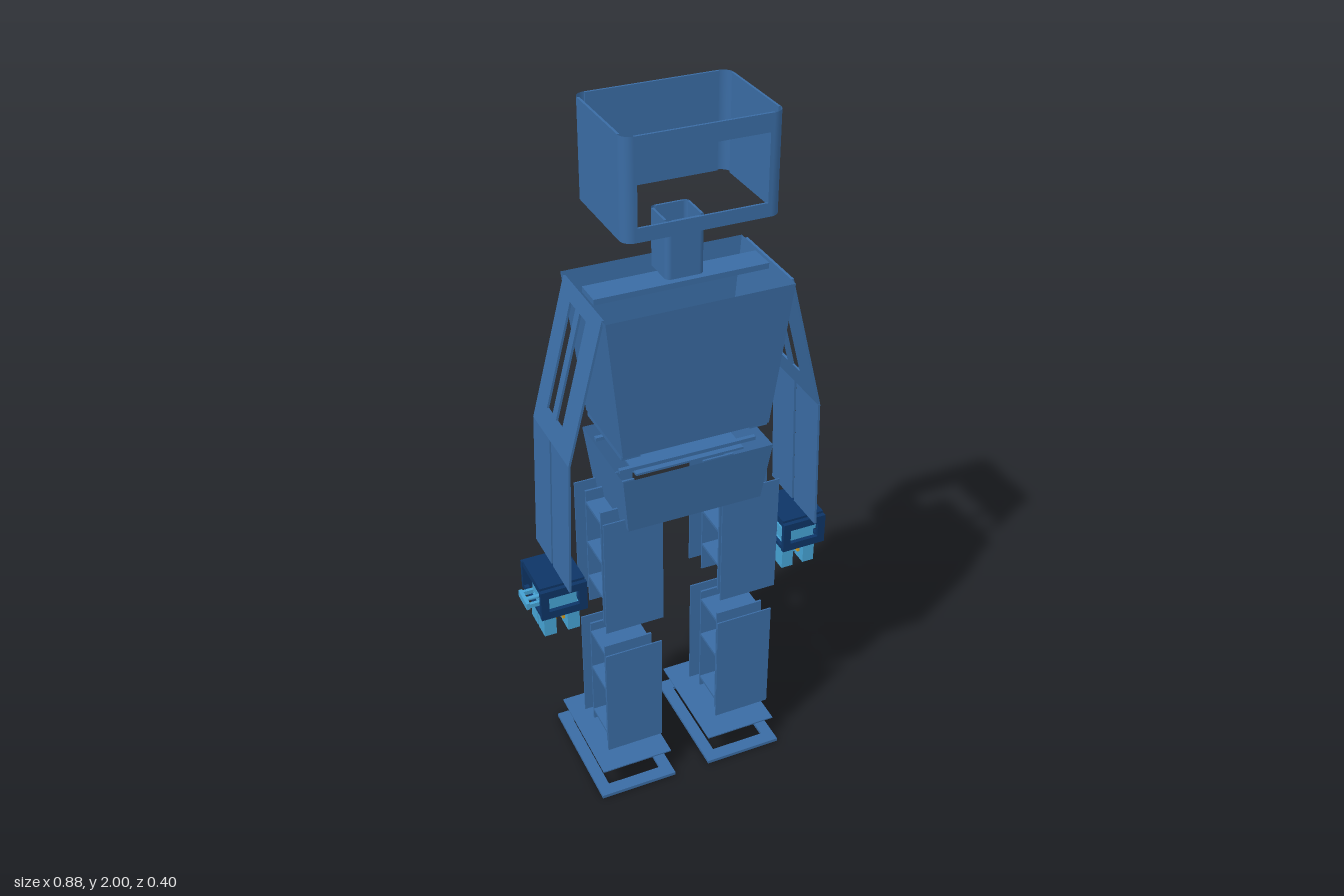
import * as THREE from 'three';

const T = 0.006; // sheet thickness
const material = (name, color, side = THREE.DoubleSide) => {
  const m = new THREE.MeshStandardMaterial({ color, side });
  m.name = name;
  return m;
};

export function createModel() {
  const model = new THREE.Group();
  model.name = 'panelRobot';
  const blue = material('steelBlue', 0x3a6ca4);
  const navy = material('navy', 0x0d3566);
  const sky = material('skyBlue', 0x46a3d4);
  const gold = material('gold', 0xd9a020);

  const add = (parent, name, geo, mat = blue) => {
    const mesh = new THREE.Mesh(geo, mat);
    mesh.name = name;
    parent.add(mesh);
    return mesh;
  };
  const group = (parent, name) => {
    const g = new THREE.Group();
    g.name = name;
    parent.add(g);
    return g;
  };
  // Box given by its minimum and maximum on each axis
  const box = (parent, name, x0, x1, y0, y1, z0, z1, mat = blue) => {
    const mesh = add(parent, name, new THREE.BoxGeometry(Math.abs(x1 - x0), y1 - y0, z1 - z0), mat);
    mesh.position.set((x0 + x1) / 2, (y0 + y1) / 2, (z0 + z1) / 2);
    return mesh;
  };
  const rect = (Type, x0, x1, y0, y1) => new Type([
    new THREE.Vector2(x0, y0), new THREE.Vector2(x1, y0), new THREE.Vector2(x1, y1), new THREE.Vector2(x0, y1)]);
  // Thin sheet with rectangular holes, in its own xy plane
  const sheet = (x0, x1, y0, y1, holes = [], depth = T) => {
    const shape = rect(THREE.Shape, x0, x1, y0, y1);
    holes.forEach(h => shape.holes.push(rect(THREE.Path, ...h)));
    return new THREE.ExtrudeGeometry(shape, { depth, bevelEnabled: false });
  };

  // Upright tube with rounded corners, open above and below
  const roundedTube = (name, w, d, y0, y1, zc, r, windowHole) => {
    const g = group(model, name), h = y1 - y0;
    g.position.set(0, y0, zc);
    const front = add(g, 'frontWall', sheet(-w + r, w - r, 0, h, windowHole ? [windowHole] : []));
    front.position.z = d - T;
    box(g, 'backWall', -w + r, w - r, 0, h, -d, -d + T);
    for (const s of [-1, 1]) box(g, 'sideWall', s * (w - T), s * w, 0, h, -d + r, d - r);
    [[1, 1], [1, -1], [-1, -1], [-1, 1]].forEach(([sx, sz], i) => {
      const c = add(g, 'corner', new THREE.CylinderGeometry(r, r, h, 6, 1, true, i * Math.PI / 2, Math.PI / 2));
      c.position.set(sx * (w - r), h / 2, sz * (d - r));
    });
  };
  roundedTube('head', 0.197, 0.145, 1.75, 2, 0.053, 0.028, [-0.163, 0.16, 0.035, 0.205]);
  roundedTube('neck', 0.05, 0.05, 1.585, 1.735, 0.05, 0.014);

  // Four tapering walls joining a lower and an upper rectangle [x, zBack, zFront, y]
  const taperedShell = (name, lo, hi) => {
    const ring = ([x, b, f, y]) => [[x, y, f], [x, y, b], [-x, y, b], [-x, y, f]];
    const a = ring(lo), b = ring(hi), pos = [];
    for (let i = 0; i < 4; i++) {
      const j = (i + 1) % 4;
      pos.push(...a[i], ...a[j], ...b[j], ...a[i], ...b[j], ...b[i]);
    }
    const geo = new THREE.BufferGeometry();
    geo.setAttribute('position', new THREE.Float32BufferAttribute(pos, 3));
    geo.computeVertexNormals();
    add(model, name, geo);
  };
  taperedShell('torso', [0.2, -0.07, 0.175, 1.165], [0.245, -0.093, 0.196, 1.56]);
  taperedShell('pelvis', [0.187, -0.065, 0.17, 0.935], [0.207, -0.085, 0.19, 1.105]);

  // Shoulder bar and inner trays
  box(model, 'shoulderBar', -0.23, 0.23, 1.552, 1.567, 0.012, 0.086);
  box(model, 'pelvisTray', -0.15, 0.15, 1.075, 1.081, -0.03, 0.137);
  for (const z of [-0.045, 0.115]) box(model, 'pelvisBar', -0.19, 0.19, 1.086, 1.096, z, z + 0.012);
  for (const s of [-1, 1]) box(model, 'torsoTab', s * 0.15, s * 0.2, 1.153, 1.168, -0.06, 0.165);

  // Sloping arm sheet from one xy point to another, sheet width along z
  const armSheet = (parent, name, s, p, q, z0, z1, holes) => {
    const dir = new THREE.Vector3(s * (q[0] - p[0]), q[1] - p[1], 0);
    const len = dir.length();
    dir.normalize();
    const zAxis = new THREE.Vector3(0, 0, 1);
    const mesh = add(parent, name, sheet(z0, z1, 0, len, holes));
    const basis = new THREE.Matrix4().makeBasis(zAxis, dir, new THREE.Vector3().crossVectors(zAxis, dir));
    mesh.quaternion.setFromRotationMatrix(basis);
    mesh.position.set(s * p[0], p[1], 0);
  };

  const buildArm = s => {
    const arm = group(model, s > 0 ? 'leftArm' : 'rightArm');
    armSheet(arm, 'upperArm', s, [0.245, 1.56], [0.342, 1.18], -0.073, 0.174,
      [[-0.007, 0.03, 0.04, 0.33], [0.056, 0.097, 0.04, 0.33]]);
    for (const [a, b] of [[-0.073, 0.045], [0.056, 0.174]])
      armSheet(arm, 'lowerArm', s, [0.342, 1.18], [0.355, 0.795], a, b, []);
  };

  const buildHand = s => {
    const hand = group(model, s > 0 ? 'leftHand' : 'rightHand');
    hand.position.set(s * 0.353, 0, 0.05);
    // Open casing
    box(hand, 'casingTop', -0.062, 0.062, 0.768, 0.782, -0.066, 0.066, navy);
    for (const x of [-0.062, 0.05]) for (const z of [-0.066, 0.054])
      box(hand, 'casingFoot', x, x + 0.012, 0.685, 0.697, z, z + 0.012, navy);
    for (const z of [-0.078, 0.066]) {
      const face = add(hand, 'casingFace', sheet(-0.064, 0.064, 0.685, 0.775, [[-0.042, 0.042, 0.708, 0.752]], 0.012), navy);
      face.position.z = z;
    }
    for (const x of [-0.062, 0.052]) for (const y of [0.685, 0.762])
      box(hand, 'casingRail', x, x + 0.01, y, y + 0.01, -0.066, 0.066, navy);
    // Inner mechanism, axle and outer handle
    box(hand, 'palm', -0.044, 0.044, 0.69, 0.728, -0.05, 0.05, sky);
    box(hand, 'palmBlock', -0.03, 0.03, 0.728, 0.75, -0.025, 0.035, sky);
    const axle = add(hand, 'axle', new THREE.CylinderGeometry(0.006, 0.006, 0.16, 10), sky);
    axle.rotation.z = Math.PI / 2;
    axle.position.set(s * 0.005, 0.705, 0);
    box(hand, 'handleGrip', s * 0.079, s * 0.089, 0.695, 0.715, -0.032, 0.032, sky);
    for (const z of [-0.032, 0.023])
      box(hand, 'handleArm', s * 0.05, s * 0.085, 0.699, 0.711, z, z + 0.009, sky);
    // Fingers with inner pads
    for (const f of [-1, 1]) {
      for (const z of [-0.05, 0.003])
        box(hand, 'finger', f * 0.016, f * 0.05, 0.605, 0.69, z, z + 0.047, sky);
      box(hand, 'fingerPad', f * 0.009, f * 0.016, 0.63, 0.69, -0.03, 0.03, gold);
    }
  };

  // Leg segment: outer panels, inner ladder plates and shelves
  const legSegment = (leg, name, s, y0, y1, zFront, zBack, shelves) => {
    const g = group(leg, name);
    for (const z of [zFront, zBack]) box(g, 'outerPanel', s * 0.085, s * 0.25, y0 + 0.004, y1 - 0.004, z - 0.002, z + 0.002);
    for (const z of [0.002, 0.106]) box(g, 'innerPlate', s * 0.1, s * 0.238, y0, y1, z - 0.003, z + 0.003);
    for (const y of shelves) box(g, 'shelf', s * 0.1, s * 0.238, y - 0.004, y + 0.004, 0.002, 0.106);
  };

  const buildLeg = s => {
    const leg = group(model, s > 0 ? 'leftLeg' : 'rightLeg');
    legSegment(leg, 'thigh', s, 0.6, 0.967, 0.154, -0.048, [0.93, 0.8, 0.685]);
    legSegment(leg, 'shin', s, 0.157, 0.515, 0.143, -0.037, [0.485, 0.355, 0.19]);
    // Foot: top sheet, brace and open sole frame
    box(leg, 'footTop', s * 0.06, s * 0.27, 0.084, 0.088, -0.172, 0.152);
    box(leg, 'footBrace', s * 0.085, s * 0.22, 0.074, 0.08, -0.08, 0.14);
    const sole = add(leg, 'soleFrame', sheet(-0.114, 0.114, -0.183, 0.183, [[-0.08, 0.08, -0.145, 0.145]], 0.01));
    sole.rotation.x = -Math.PI / 2;
    sole.position.set(s * 0.167, 0, -0.015);
  };

  for (const s of [-1, 1]) {
    buildArm(s);
    buildHand(s);
    buildLeg(s);
  }
  return model;
}
